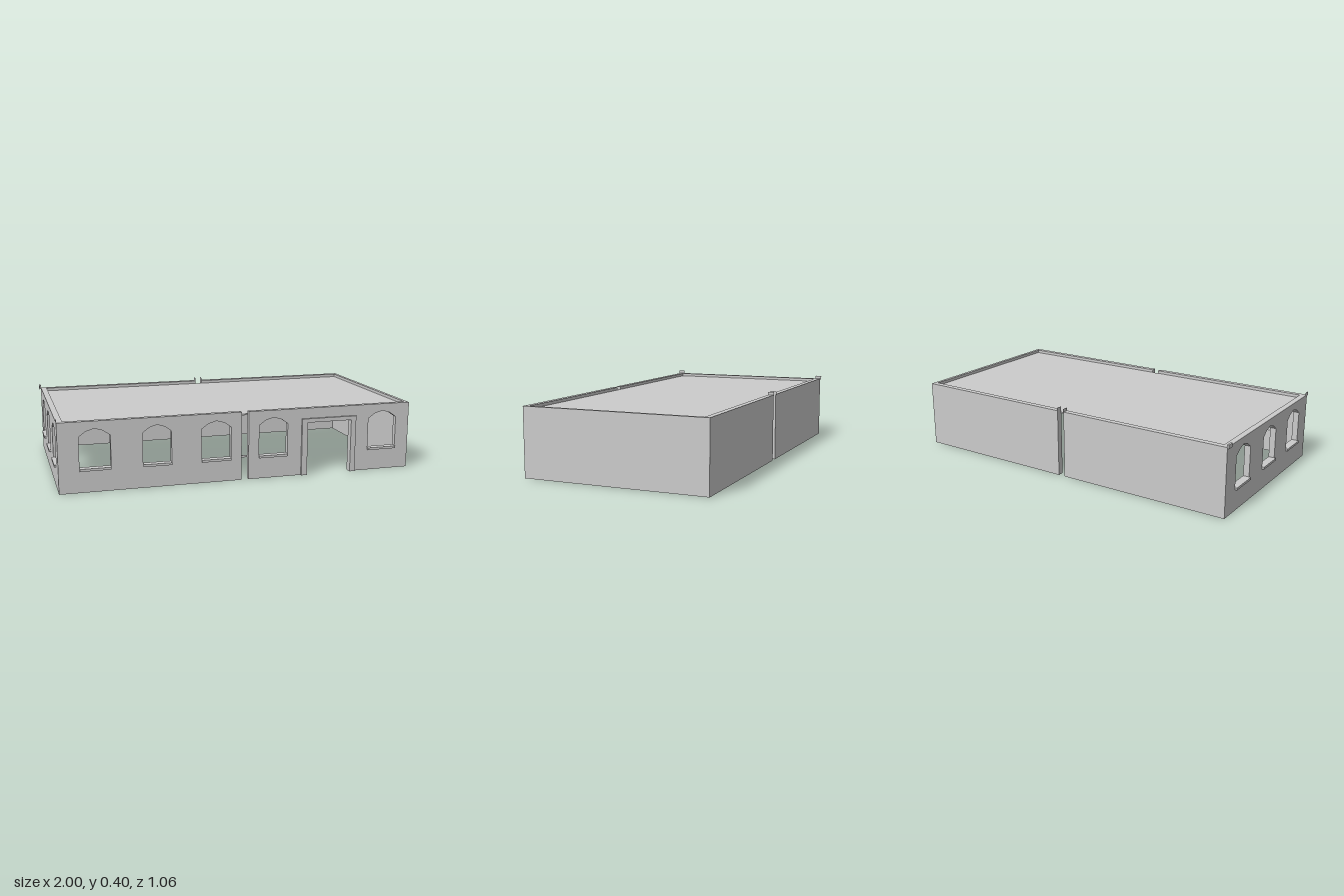
import * as THREE from 'three';

const H = 0.38;        // wall height
const SILL = 0.13;     // window opening bottom
const mat = new THREE.MeshStandardMaterial({ color: 0xcccccc, flatShading: true });

// Box given by its minimum and maximum corners
function box(parent, name, x0, x1, y0, y1, z0, z1) {
  const m = new THREE.Mesh(new THREE.BoxGeometry(x1 - x0, y1 - y0, z1 - z0), mat);
  m.position.set((x0 + x1) / 2, (y0 + y1) / 2, (z0 + z1) / 2);
  m.name = name;
  parent.add(m);
  return m;
}

function polygon(points, Type = THREE.Shape) {
  return new Type(points.map(([x, y]) => new THREE.Vector2(x, y)));
}

// Window opening with a faceted pointed arch
function windowHole(a, b) {
  const w = b - a, c = (a + b) / 2;
  return polygon([
    [a, SILL], [b, SILL], [b, 0.3], [c + w * 0.27, 0.327],
    [c, 0.34], [c - w * 0.27, 0.327], [a, 0.3],
  ], THREE.Path);
}

// Wall panel with windows, optional doorway, and a projecting sill per window
function wall(name, a, b, depth, windows, door) {
  const g = new THREE.Group();
  g.name = name;
  const outline = [[a, 0]];
  if (door) outline.push([door[0], 0], [door[0], door[2]], [door[1], door[2]], [door[1], 0]);
  outline.push([b, 0], [b, H], [a, H]);
  const shape = polygon(outline);
  shape.holes = windows.map(([l, r]) => windowHole(l, r));
  const geo = new THREE.ExtrudeGeometry(shape, { depth, bevelEnabled: false });
  const panel = new THREE.Mesh(geo, mat);
  panel.name = name + 'Panel';
  g.add(panel);
  for (const [l, r] of windows) box(g, 'windowSill', l, r, 0.117, SILL, depth - 0.005, depth + 0.011);
  return g;
}

export function createModel() {
  const model = new THREE.Group();
  model.name = 'building';

  // Front wall in two sections with a narrow slot between them
  const frontLeft = wall('frontWallWest', -0.99, 0, 0.029,
    [[-0.88, -0.715], [-0.545, -0.39], [-0.225, -0.06]]);
  const frontRight = wall('frontWallEast', 0.04, 1, 0.029,
    [[0.1, 0.265], [0.75, 0.92]], [0.38, 0.64, 0.3]);
  for (const w of [frontLeft, frontRight]) {
    w.position.z = 0.485;
    model.add(w);
  }

  // Door surround standing slightly proud of the wall
  const trim = polygon([
    [0.347, 0], [0.38, 0], [0.38, 0.3], [0.64, 0.3],
    [0.64, 0], [0.67, 0], [0.67, 0.322], [0.347, 0.322],
  ]);
  const surround = new THREE.Mesh(
    new THREE.ExtrudeGeometry(trim, { depth: 0.012, bevelEnabled: false }), mat);
  surround.position.z = 0.513;
  surround.name = 'doorSurround';
  model.add(surround);

  // Windowed end wall, turned to face -x
  const end = wall('windowedEndWall', -0.5, 0.5, 0.033,
    [[-0.415, -0.25], [-0.085, 0.075], [0.24, 0.405]]);
  end.rotation.y = -Math.PI / 2;
  end.position.x = -0.957;
  model.add(end);

  // Plain back sections and the plain end wall
  box(model, 'backWallWest', -0.99, 0, 0, H, -0.525, -0.492);
  box(model, 'backWallEast', 0.04, 1, 0, H, -0.525, -0.492);
  box(model, 'plainEndWall', 0.98, 1, 0, H, -0.5245, 0.5135);

  // Roof slab set just below the parapet
  box(model, 'roof', -0.957, 0.98, 0.355, 0.363, -0.492, 0.485);

  // Thin upright tabs at the back corner and beside the back slot
  box(model, 'cornerTab', -1, -0.99, 0.375, 0.397, -0.53, -0.492);
  for (const x of [0, 0.04]) {
    box(model, 'slotTab', x - 0.0005, x + 0.0005, 0.375, 0.397, -0.528, -0.492);
  }
  box(model, 'frontCornerTab', -0.991, -0.99, 0.375, 0.397, 0.49, 0.527);

  // Narrow strip bridging the front slot
  box(model, 'slotStrip', 0, 0.04, 0.118, SILL, 0.48, 0.484);

  return model;
}
